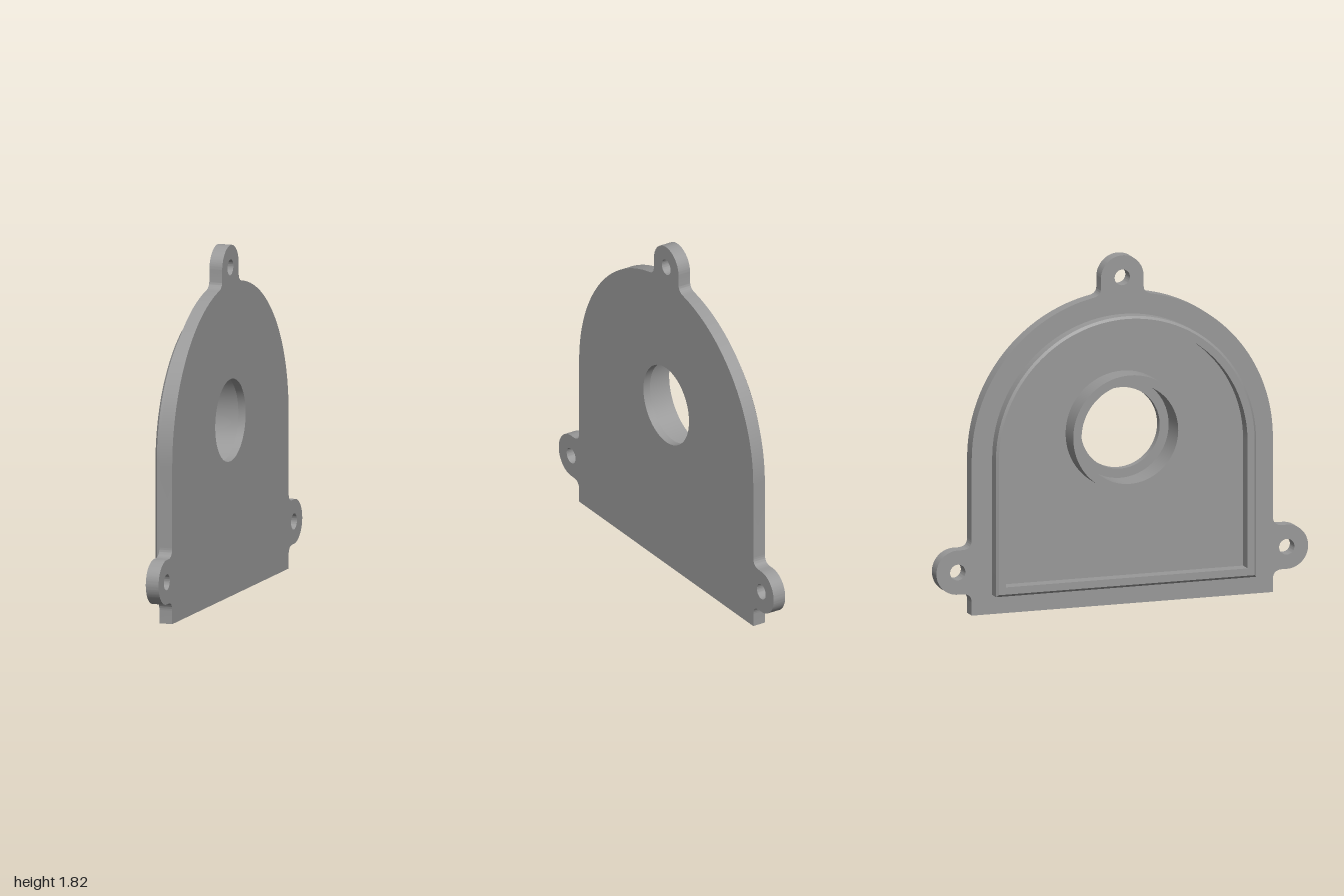
import * as THREE from 'three';
import { toCreasedNormals } from 'three/addons/utils/BufferGeometryUtils.js';

const CREASE = 0.45;
const ARC_Y = 0.81;   // centre height of the domed top
const BORE_Y = 0.91;  // centre height of the bore

// Flanged plate outline with three rounded lugs, horizontal axis = z
function plateShape() {
  const s = new THREE.Shape();
  const half = 0.81, lug = 0.115, lugZ = 0.885, lugY = 0.23, f = 0.05;
  const topY = 1.7, a = Math.acos(0.155 / half);
  s.moveTo(-half, 0);
  s.lineTo(half, 0);
  // lug on the +z side
  s.lineTo(half, lugY - lug - f);
  s.quadraticCurveTo(half, lugY - lug, half + f, lugY - lug);
  s.absarc(lugZ, lugY, lug, -Math.PI / 2, Math.PI / 2, false);
  s.lineTo(half + f, lugY + lug);
  s.quadraticCurveTo(half, lugY + lug, half, lugY + lug + f);
  // dome and top lug
  s.absarc(0, ARC_Y, half, 0, a, false);
  s.quadraticCurveTo(lug, 1.613, lug, 1.65);
  s.absarc(0, topY, lug, 0, Math.PI, false);
  s.lineTo(-lug, 1.65);
  s.quadraticCurveTo(-lug, 1.613, -0.155, ARC_Y + half * Math.sin(a));
  s.absarc(0, ARC_Y, half, Math.PI - a, Math.PI, false);
  // lug on the -z side
  s.lineTo(-half, lugY + lug + f);
  s.quadraticCurveTo(-half, lugY + lug, -half - f, lugY + lug);
  s.absarc(-lugZ, lugY, lug, Math.PI / 2, Math.PI * 1.5, false);
  s.lineTo(-half - f, lugY - lug);
  s.quadraticCurveTo(-half, lugY - lug, -half, lugY - lug - f);
  s.lineTo(-half, 0);
  // screw holes and the opening that receives the boss
  for (const [z, y, r] of [[lugZ, lugY, 0.041], [-lugZ, lugY, 0.041], [0, topY, 0.041], [0, BORE_Y, 0.27]]) {
    s.holes.push(new THREE.Path().absarc(z, y, r, 0, Math.PI * 2, true));
  }
  return s;
}

// Dome-shaped loop of [z, y] points, inset by d
function domeLoop(d) {
  const r = 0.7 - d, n = 64, pts = [[r, 0.1 + d]];
  for (let i = 0; i <= n; i++) {
    const t = (Math.PI * i) / n;
    pts.push([r * Math.cos(t), ARC_Y + r * Math.sin(t)]);
  }
  pts.push([-r, 0.1 + d]);
  return pts;
}

// Raised rim: cross-section [inset, x] swept round the dome loop
function rimGeometry() {
  const section = [[0, 0.025], [0, -0.037], [0.012, -0.049], [0.05, -0.049], [0.05, 0.025]];
  const pos = [], index = [];
  const loops = section.map(([d, x]) => domeLoop(d).map(([z, y]) => [x, y, z]));
  const n = loops[0].length;
  loops.forEach((loop) => loop.forEach((p) => pos.push(...p)));
  for (let j = 0; j < loops.length - 1; j++) {
    for (let i = 0; i < n; i++) {
      const k = (i + 1) % n;
      const a = j * n + i, b = j * n + k, c = a + n, d = b + n;
      index.push(a, b, c, b, d, c);
    }
  }
  const g = new THREE.BufferGeometry();
  g.setAttribute('position', new THREE.Float32BufferAttribute(pos, 3));
  g.setIndex(index);
  return g;
}

// Boss with a stepped bore, turned about the x axis
function bossGeometry() {
  const profile = [
    [0.271, 0.09], [0.212, 0.09], [0.212, 0.05], [0.26, 0.05],
    [0.26, -0.097], [0.305, -0.097], [0.305, 0.025],
  ].map(([r, x]) => new THREE.Vector2(r, x));
  return new THREE.LatheGeometry(profile, 72).rotateZ(-Math.PI / 2).translate(0, BORE_Y, 0);
}

export function createModel() {
  const group = new THREE.Group();
  group.name = 'coverPlate';
  const grey = new THREE.MeshStandardMaterial({ color: 0x999999 });
  grey.name = 'grey metal';

  const add = (name, geometry) => {
    const mesh = new THREE.Mesh(toCreasedNormals(geometry, CREASE), grey);
    mesh.name = name;
    group.add(mesh);
  };

  const plate = new THREE.ExtrudeGeometry(plateShape(), { depth: 0.07, bevelEnabled: false, curveSegments: 36 });
  add('flangePlate', plate.rotateY(Math.PI / 2).translate(0.02, 0, 0));
  add('locatingRim', rimGeometry());
  add('boreBoss', bossGeometry());
  return group;
}
